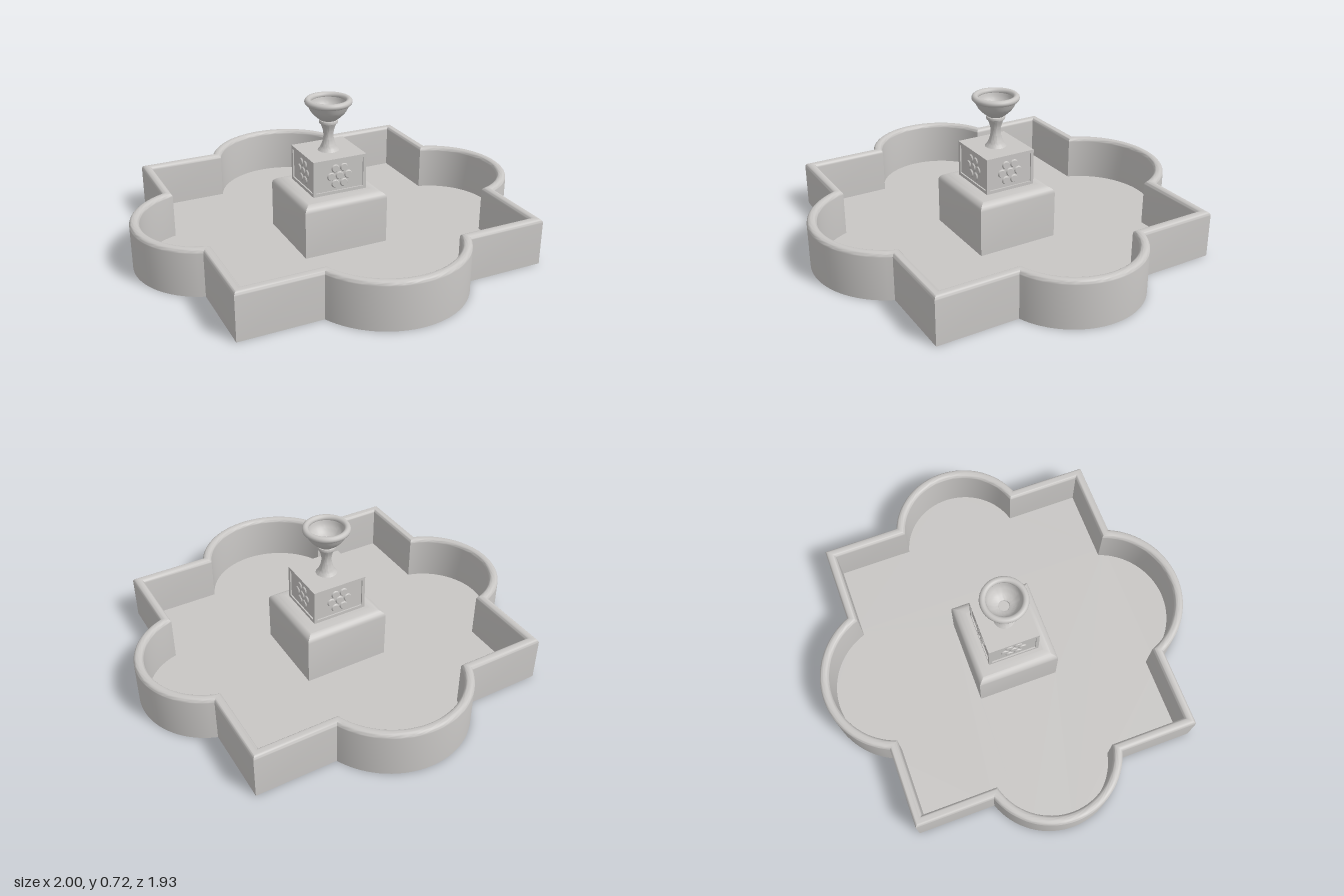
import * as THREE from 'three';
import { toCreasedNormals } from 'three/addons/utils/BufferGeometryUtils.js';

const HX = 0.765, HZ = 0.73;   // half size of the square part of the basin
const RIM = 0.235;             // basin wall height
const PX = 0.22, PZ = 0.21;    // half size of the pedestal

// Basin outline moved inward by d: four lobes joined by square corners
function basinOutline(d) {
  const pts = [];
  const lobes = [
    { half: HX, chord: 0.335, corner: [HX - d, HZ - d] },
    { half: HZ, chord: 0.365, corner: [-HX + d, HZ - d] },
    { half: HX, chord: 0.335, corner: [-HX + d, -HZ + d] },
    { half: HZ, chord: 0.365, corner: [HX - d, -HZ + d] },
  ];
  const bulge = 0.235, n = 32;
  lobes.forEach(({ half, chord, corner }, k) => {
    const r = (chord * chord + bulge * bulge) / (2 * bulge);
    const centre = half + bulge - r;
    const span = Math.acos((half - d - centre) / (r - d));
    for (let i = 0; i <= n; i++) {
      const a = span * (2 * i / n - 1);
      const u = centre + (r - d) * Math.cos(a), v = (r - d) * Math.sin(a);
      pts.push([[u, v], [-v, u], [-u, -v], [v, -u]][k]);
    }
    pts.push(corner);
  });
  return pts;
}

function rectOutline(d) {
  const x = PX - d, z = PZ - d;
  return [[x, -z], [x, z], [-x, z], [-x, -z]];
}

// Skin a profile of [inset, height] points around a closed outline
function skin(outline, profile) {
  const rings = profile.map(([d, y]) => outline(d).map(([x, z]) => [x, y, z]));
  const pos = [];
  for (let j = 0; j < rings.length - 1; j++) {
    const lo = rings[j], hi = rings[j + 1];
    lo.forEach((a, i) => {
      const k = (i + 1) % lo.length;
      pos.push(...a, ...hi[i], ...lo[k], ...lo[k], ...hi[i], ...hi[k]);
    });
  }
  const g = new THREE.BufferGeometry();
  g.setAttribute('position', new THREE.Float32BufferAttribute(pos, 3));
  return toCreasedNormals(g, 0.6);
}

// Quarter ellipse from (d, y), rising by h while moving inward by w
function quarter(d, y, w, h, n = 6) {
  return Array.from({ length: n + 1 }, (_, i) => {
    const a = i / n * Math.PI / 2;
    return [d + w * (1 - Math.cos(a)), y + h * Math.sin(a)];
  });
}

export function createModel() {
  const model = new THREE.Group();
  const stone = new THREE.MeshStandardMaterial({ color: 0xc8c6c4, side: THREE.DoubleSide });
  stone.name = 'stone grey';
  const add = (name, geometry, parent = model) => {
    const m = new THREE.Mesh(geometry, stone);
    m.name = name;
    parent.add(m);
    return m;
  };

  // Basin wall with rounded rim
  const f = 0.02, wall = 0.047;
  const outer = quarter(0, RIM - f, f, f);
  const inner = outer.map(([d, y]) => [wall - d, y]).reverse();
  add('basinWall', skin(basinOutline, [[0, 0], ...outer, ...inner, [wall, 0]]));

  // Basin floor, open below the hollow pedestal
  const vec = ([x, z]) => new THREE.Vector2(x, z);
  const floor = new THREE.Shape(basinOutline(0).map(vec));
  floor.holes.push(new THREE.Path(rectOutline(0).map(vec)));
  add('basinFloor', new THREE.ShapeGeometry(floor).rotateX(Math.PI / 2));

  // Pedestal with rounded shoulder, lid and inner ceiling
  const shoulder = 0.06, lidY = 0.275;
  add('pedestal', skin(rectOutline, [[0, 0], ...quarter(0, RIM, shoulder, lidY - RIM)]));
  add('pedestalLid', new THREE.PlaneGeometry(2 * (PX - shoulder), 2 * (PZ - shoulder))
    .rotateX(-Math.PI / 2)).position.y = lidY;
  add('pedestalCeiling', new THREE.PlaneGeometry(2 * PX, 2 * PZ)
    .rotateX(Math.PI / 2)).position.y = RIM - 0.003;

  // Block with a framed, recessed panel and a rosette on each side
  const bw = 0.284, bd = 0.264, bh = 0.182, recess = 0.007, border = 0.016;
  const block = new THREE.Group();
  block.name = 'block';
  block.position.y = lidY + bh / 2;
  model.add(block);
  add('blockCore', new THREE.BoxGeometry(bw - 2 * recess, bh, bd - 2 * recess), block);
  for (let k = 0; k < 4; k++) {
    const w = k % 2 ? bd : bw, depth = k % 2 ? bw : bd;
    const side = new THREE.Group();
    side.name = 'blockSide';
    side.rotation.y = k * Math.PI / 2;
    block.add(side);
    const rect = (T, x, y) => new T([[-x, -y], [x, -y], [x, y], [-x, y]].map(vec));
    const frame = rect(THREE.Shape, w / 2, bh / 2);
    frame.holes.push(rect(THREE.Path, w / 2 - border, bh / 2 - border));
    add('panelFrame', new THREE.ExtrudeGeometry(frame, { depth: recess, bevelEnabled: false }), side)
      .position.z = depth / 2 - recess;
    for (let i = 0; i < 7; i++) {
      const a = i * Math.PI / 3, r = i < 6 ? 0.046 : 0;
      add('rosettePetal', new THREE.CylinderGeometry(0.017, 0.021, 0.006, 16).rotateX(Math.PI / 2), side)
        .position.set(r * Math.cos(a), r * Math.sin(a), depth / 2 - recess + 0.003);
    }
  }

  // Urn: flared stem, collar, hollow bowl and rolled lip
  const stem = new THREE.SplineCurve([[0.053, 0.457], [0.04, 0.475], [0.029, 0.505], [0.025, 0.535],
    [0.029, 0.565], [0.04, 0.595]].map(vec)).getPoints(20);
  const collar = [[0.046, 0.598], [0.047, 0.605], [0.045, 0.612], [0.041, 0.614]].map(vec);
  const bowl = new THREE.SplineCurve([[0.041, 0.614], [0.063, 0.632], [0.086, 0.657], [0.103, 0.69]]
    .map(vec)).getPoints(12);
  const inside = new THREE.SplineCurve([[0.088, 0.705], [0.078, 0.675], [0.055, 0.647], [0.027, 0.632]]
    .map(vec)).getPoints(12);
  const lathe = (pts) => toCreasedNormals(new THREE.LatheGeometry(pts, 48), 0.7);
  add('urnStem', lathe([...stem, ...collar]));
  add('urnBowl', lathe(bowl));
  add('urnInside', lathe([...inside, new THREE.Vector2(0.025, 0.626), new THREE.Vector2(0, 0.626)]));
  add('urnLip', new THREE.TorusGeometry(0.101, 0.016, 12, 48).rotateX(Math.PI / 2)).position.y = 0.706;

  return model;
}
